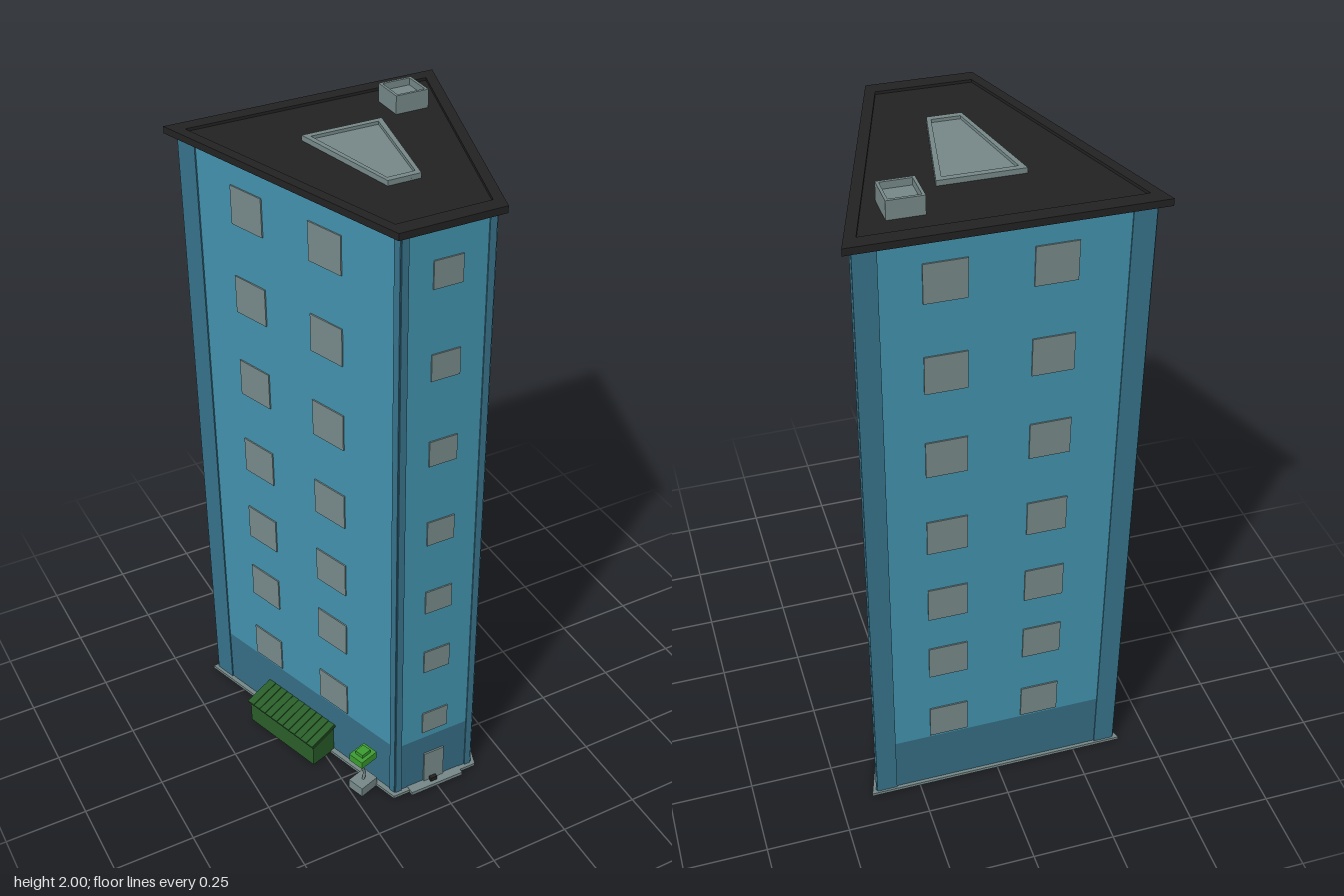
import * as THREE from 'three';

const mat = (name, color, side = THREE.FrontSide) => {
  const m = new THREE.MeshStandardMaterial({ color, side });
  m.name = name;
  return m;
};

export function createModel() {
  const wallBlue = mat('wall blue', 0x4291ac, THREE.DoubleSide);
  const baseBlue = mat('base blue', 0x356c83, THREE.DoubleSide);
  const postBlue = mat('post blue', 0x37728a);
  const grey = mat('grey', 0x768888);
  const black = mat('roof black', 0x222222);
  const darkGreen = mat('dark green', 0x2a5e2a);
  const leafGreen = mat('leaf green', 0x3c9c30);

  const model = new THREE.Group();
  model.name = 'towerBlock';

  const add = (parent, name, geometry, material, x = 0, y = 0, z = 0) => {
    const mesh = new THREE.Mesh(geometry, material);
    mesh.name = name;
    mesh.position.set(x, y, z);
    parent.add(mesh);
    return mesh;
  };
  const box = (parent, name, w, h, d, material, x, y, z) =>
    add(parent, name, new THREE.BoxGeometry(w, h, d), material, x, y, z);

  // Symmetric trapezoid in plan: [backHalfWidth, backZ, frontHalfWidth, frontZ]
  const outline = ([b, zb, f, zf]) =>
    [[-b, zb], [b, zb], [f, zf], [-f, zf]].map(([x, z]) => new THREE.Vector2(x, -z));
  const prism = (name, outer, inner, y, height, material) => {
    const shape = new THREE.Shape(outline(outer));
    if (inner) shape.holes.push(new THREE.Path(outline(inner).reverse()));
    const geometry = new THREE.ExtrudeGeometry(shape, { depth: height, bevelEnabled: false });
    geometry.rotateX(-Math.PI / 2);
    return add(model, name, geometry, material, 0, y, 0);
  };

  // Hollow building: four walls, each in its own frame (z outward)
  const backX = 0.384, frontX = 0.133, depth = 0.77, top = 1.94, band = 0.2;
  const sideLength = Math.hypot(backX - frontX, depth);
  const sideTurn = Math.atan2(depth, backX - frontX);
  const midX = (backX + frontX) / 2;
  const floors = [0.265, 0.515, 0.745, 0.995, 1.265, 1.535, 1.805];
  const walls = [
    { name: 'front', x: 0, z: depth / 2, turn: 0, length: 2 * frontX, posts: [0.02, 0.02], cols: [0], win: [0.085, 0.08] },
    { name: 'back', x: 0, z: -depth / 2, turn: Math.PI, length: 2 * backX, posts: [0.062, 0.062], cols: [-0.155, 0.13], win: [0.115, 0.113] },
    { name: 'left', x: midX, z: 0, turn: sideTurn, length: sideLength, posts: [0.02, 0.068], cols: [-0.145, 0.145], win: [0.117, 0.113] },
    { name: 'right', x: -midX, z: 0, turn: -sideTurn, length: sideLength, posts: [0.068, 0.02], cols: [-0.145, 0.145], win: [0.117, 0.113] },
  ];
  for (const w of walls) {
    const side = new THREE.Group();
    side.name = w.name + 'Wall';
    side.position.set(w.x, 0, w.z);
    side.rotation.y = w.turn;
    model.add(side);
    add(side, 'baseBand', new THREE.PlaneGeometry(w.length, band), baseBlue, 0, band / 2, 0);
    add(side, 'upperWall', new THREE.PlaneGeometry(w.length, top - band), wallBlue, 0, (top + band) / 2, 0);
    w.posts.forEach((width, i) => {
      const x = (i ? 1 : -1) * (w.length - width) / 2;
      box(side, 'cornerPost', width, top, 0.008, postBlue, x, top / 2, 0);
    });
    for (const x of w.cols)
      for (const y of floors) box(side, 'window', w.win[0], w.win[1], 0.008, grey, x, y, 0);
  }

  // Kerb, front step and door
  prism('kerb', [0.402, -0.395, 0.145, 0.4], [0.38, -0.38, 0.13, 0.38], 0, 0.01, grey);
  box(model, 'frontStep', 0.18, 0.012, 0.03, grey, 0, 0.006, 0.4);
  box(model, 'door', 0.068, 0.118, 0.009, grey, 0, 0.071, 0.386);
  box(model, 'bootScraper', 0.022, 0.014, 0.012, black, -0.005, 0.019, 0.397);

  // Roof slab with a low parapet
  const roof = [0.412, -0.418, 0.152, 0.406];
  prism('roofSlab', roof, null, 1.935, 0.012, black);
  prism('parapet', roof, [0.367, -0.375, 0.136, 0.36], 1.947, 0.008, black);

  // Skylight: raised frame around a sunken pane
  const frame = [0.119, -0.18, 0.048, 0.161];
  prism('skylightPane', frame, null, 1.945, 0.008, grey);
  prism('skylightFrame', frame, [0.1, -0.163, 0.04, 0.143], 1.953, 0.009, grey);

  // Square roof vent, open at the top
  const vent = new THREE.Group();
  vent.name = 'roofVent';
  vent.position.set(0.229, 1.945, -0.258);
  model.add(vent);
  box(vent, 'ventBase', 0.1, 0.035, 0.1, grey, 0, 0.0175, 0);
  for (const s of [-1, 1]) {
    box(vent, 'ventRim', 0.1, 0.02, 0.008, grey, 0, 0.045, s * 0.046);
    box(vent, 'ventRim', 0.008, 0.02, 0.084, grey, s * 0.046, 0.045, 0);
  }

  // Groups standing against the right wall (local x points away from it)
  const besideWall = (name, x, z) => {
    const g = new THREE.Group();
    g.name = name;
    g.position.set(x, 0, z);
    g.rotation.y = Math.PI + Math.PI / 2 - sideTurn;
    model.add(g);
    return g;
  };

  // Waste container with a sloping ribbed lid
  const bin = besideWall('wasteContainer', -0.306, 0.0125);
  const profile = new THREE.Shape([[-0.047, 0.005], [0.043, 0.005], [0.043, 0.084], [-0.047, 0.108]]
    .map(([x, y]) => new THREE.Vector2(x, y)));
  const body = new THREE.ExtrudeGeometry(profile, { depth: 0.286, bevelEnabled: false });
  add(bin, 'containerBody', body, darkGreen, 0, 0, -0.143);
  const lid = new THREE.Group();
  lid.name = 'containerLid';
  lid.position.set(0, 0.099, 0);
  lid.rotation.z = -0.26;
  bin.add(lid);
  box(lid, 'lidPanel', 0.102, 0.006, 0.3, darkGreen, 0, 0, 0);
  const slats = 11;
  for (let i = 0; i < slats; i++) {
    const slat = box(lid, 'lidSlat', 0.102, 0.005, 0.027, darkGreen, 0, 0.003, (i - (slats - 1) / 2) * 0.0268);
    slat.rotation.x = 0.12;
  }

  // Potted tree
  const tree = besideWall('pottedTree', -0.205, 0.31);
  box(tree, 'planter', 0.066, 0.034, 0.056, grey, 0, 0.017, 0);
  const trunkPath = new THREE.CatmullRomCurve3([[0, 0.03, 0], [-0.006, 0.06, 0], [0.004, 0.09, 0], [0, 0.125, 0]]
    .map((p) => new THREE.Vector3(...p)));
  add(tree, 'trunk', new THREE.TubeGeometry(trunkPath, 6, 0.005, 5), grey);
  box(tree, 'crown', 0.064, 0.026, 0.054, leafGreen, 0, 0.134, 0);
  box(tree, 'crownTop', 0.034, 0.013, 0.03, leafGreen, 0, 0.1525, 0);

  return model;
}
